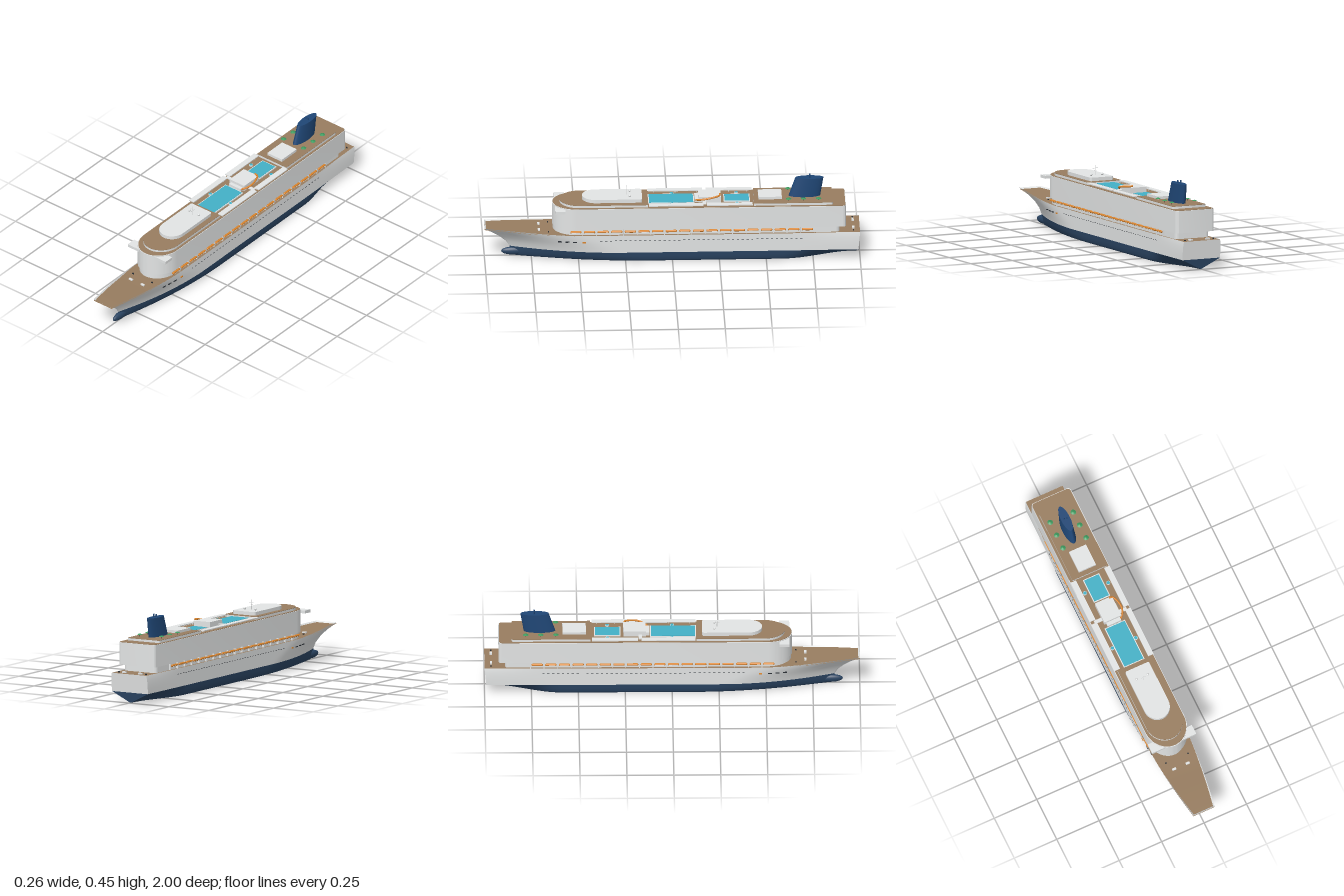
import * as THREE from 'three';
import { toCreasedNormals } from 'three/addons/utils/BufferGeometryUtils.js';

const material = (name, color, side = THREE.FrontSide) => {
  const m = new THREE.MeshStandardMaterial({ color, side });
  m.name = name;
  return m;
};
const white = material('white paint', 0xe2e4e4, THREE.DoubleSide);
const navy = material('navy hull', 0x2a4462, THREE.DoubleSide);
const funnelBlue = material('funnel blue', 0x1f4675);
const wood = material('deck wood', 0x987d60, THREE.DoubleSide);
const water = material('pool water', 0x43b0c6);
const orange = material('orange', 0xdc862e);
const green = material('green', 0x3f9a5f);
const dark = material('dark fittings', 0x2b3036);

const ramp = (a, b, t) => THREE.MathUtils.smoothstep(t, a, b);
const lerp = THREE.MathUtils.lerp;

// Smooth surface through a grid of points
function surface(rows) {
  const n = rows[0].length, index = [];
  for (let i = 0; i < rows.length - 1; i++) {
    for (let j = 0; j < n - 1; j++) {
      const a = i * n + j, b = a + n;
      index.push(a, a + 1, b, b, a + 1, b + 1);
    }
  }
  const g = new THREE.BufferGeometry();
  g.setAttribute('position', new THREE.Float32BufferAttribute(rows.flat(2), 3));
  g.setIndex(index);
  g.computeVertexNormals();
  return g;
}

// Hull levels: height, bow z, bow half width, entrance length, middle and stern half widths
const WATERLINE = 0.055, STATIONS = 56;
const below = [
  [0, 0.83, 0, 0.75, 0.094, 0.002], [0.004, 0.845, 0, 0.72, 0.106, 0.01],
  [0.015, 0.86, 0, 0.68, 0.112, 0.032], [0.035, 0.865, 0, 0.64, 0.114, 0.073], [0.055, 0.865, 0, 0.6, 0.115, 0.112],
];
const above = [
  [0.055, 0.865, 0, 0.6, 0.115, 0.112], [0.08, 0.885, 0.003, 0.58, 0.115, 0.113], [0.105, 0.92, 0.012, 0.56, 0.115, 0.113],
  [0.128, 0.957, 0.03, 0.55, 0.115, 0.112], [0.145, 0.985, 0.052, 0.55, 0.115, 0.11], [0.155, 1, 0.062, 0.55, 0.115, 0.108],
];
const sheer = (z) => 0.155 + 0.026 * ramp(0.45, 1.05, z) * 1.05;

function hullPoint([y, bow, bowW, entrance, mid, stern], u, side) {
  const back = -0.985 - 0.015 * y / 0.155;
  const z = lerp(bow, back, Math.pow(u, 1.35));
  const t = Math.min((bow - z) / entrance, 1);
  let w = lerp(bowW, mid, 1 - Math.pow(1 - t, 1.9));
  w = lerp(w, stern, 1 - ramp(back, back + 0.4, z));
  const rise = Math.max(0, (y - WATERLINE) / (0.155 - WATERLINE));
  return [side * w, y + rise * (sheer(z) - 0.155), z];
}

function hullOutline(level) {
  const points = [];
  for (let i = STATIONS; i >= 0; i--) points.push(hullPoint(level, i / STATIONS, 1));
  for (let i = 0; i <= STATIONS; i++) points.push(hullPoint(level, i / STATIONS, -1));
  return points;
}

// Plan shape with a rounded nose and rounded rear corners, raised from y0 to y1
function slabGeometry(w, front, back, nose, corner, y0, y1) {
  const s = new THREE.Shape();
  s.moveTo(-w + corner, -back);
  s.quadraticCurveTo(-w, -back, -w, -back - corner);
  s.lineTo(-w, -front + nose);
  if (nose > 0) s.absellipse(0, -front + nose, w, nose, Math.PI, Math.PI * 2, false);
  else s.lineTo(w, -front);
  s.lineTo(w, -back - corner);
  s.quadraticCurveTo(w, -back, w - corner, -back);
  s.closePath();
  const g = new THREE.ExtrudeGeometry(s, { depth: y1 - y0, bevelEnabled: false, curveSegments: 24 });
  g.rotateX(-Math.PI / 2).translate(0, y0, 0);
  return toCreasedNormals(g, 0.6);
}

export function createModel() {
  const ship = new THREE.Group();
  ship.name = 'cruiseShip';
  const add = (name, geometry, mat, x = 0, y = 0, z = 0) => {
    const mesh = new THREE.Mesh(geometry, mat);
    mesh.name = name;
    mesh.position.set(x, y, z);
    ship.add(mesh);
    return mesh;
  };
  const box = (name, mat, w, h, d, x, y, z) => add(name, new THREE.BoxGeometry(w, h, d), mat, x, y, z);
  const slab = (name, mat, ...plan) => add(name, slabGeometry(...plan), mat);

  // Hull, bottom and transom
  for (const [name, levels, mat] of [['lowerHull', below, navy], ['upperHull', above, white]]) {
    add(name, surface(levels.map(hullOutline)), mat);
    add(name + 'Transom', surface(levels.map((l) => [hullPoint(l, 1, -1), hullPoint(l, 1, 1)])), mat);
  }
  const across = (level, drop) => Array.from({ length: STATIONS + 1 }, (_, i) => [1, -1].map((s) => {
    const p = hullPoint(level, i / STATIONS, s);
    return [p[0], p[1] - drop(p[2]), p[2]];
  }));
  add('hullBottom', surface(across(below[0], () => 0).map((r) => r.reverse())), navy);
  add('mainDeck', surface(across(above[5], (z) => 0.001 + 0.006 * ramp(0.6, 0.75, z)).map((r) => r.reverse())), wood);
  add('bulbousBow', new THREE.SphereGeometry(1, 24, 16), navy, 0, 0.026, 0.845).scale.set(0.017, 0.022, 0.065);

  // Superstructure
  slab('promenadeHouse', white, 0.1, 0.635, -0.89, 0.12, 0.02, 0.15, 0.19);
  slab('cabinBlock', white, 0.115, 0.64, -0.925, 0.13, 0.02, 0.19, 0.31);
  slab('upperDeck', wood, 0.112, 0.636, -0.922, 0.13, 0.02, 0.31, 0.312);
  slab('forwardTier', white, 0.1, 0.6, 0.13, 0.11, 0, 0.31, 0.324);
  slab('forwardTierDeck', wood, 0.1, 0.6, 0.13, 0.11, 0, 0.324, 0.326);
  slab('aftTier', white, 0.1, -0.435, -0.855, 0, 0.01, 0.31, 0.324);
  slab('aftTierDeck', wood, 0.1, -0.435, -0.855, 0, 0.01, 0.324, 0.326);
  slab('observationHouse', white, 0.07, 0.48, 0.16, 0.075, 0.012, 0.326, 0.345);
  box('bridgeWings', white, 0.26, 0.016, 0.055, 0, 0.298, 0.598);
  box('aftHouse', white, 0.1, 0.015, 0.125, 0, 0.333, -0.522);
  box('poolHouse', white, 0.1, 0.033, 0.12, 0, 0.328, -0.2);
  box('poolHouseSteps', white, 0.08, 0.02, 0.02, 0, 0.32, -0.13);

  // Pools
  for (const [w, d, z] of [[0.11, 0.235, 0.005], [0.085, 0.13, -0.345]]) {
    box('poolRim', white, w + 0.01, 0.006, d + 0.01, 0, 0.315, z);
    box('poolWater', water, w, 0.002, d, 0, 0.3185, z);
  }

  // Water slide
  const path = new THREE.CatmullRomCurve3([
    [0.03, 0.353, -0.255], [0.05, 0.351, -0.25], [0.066, 0.347, -0.215],
    [0.07, 0.341, -0.18], [0.06, 0.333, -0.15], [0.035, 0.323, -0.125],
  ].map((p) => new THREE.Vector3(...p)));
  add('waterSlide', new THREE.TubeGeometry(path, 32, 0.005, 8), orange);

  // Funnel raked toward the stern, with exhaust pipes
  const funnel = new THREE.CylinderGeometry(1, 1, 1, 40, 6);
  const p = funnel.attributes.position;
  for (let i = 0; i < p.count; i++) {
    const t = p.getY(i) + 0.5;
    p.setXYZ(i, p.getX(i) * lerp(0.03, 0.025, t), 0.322 + 0.108 * t,
      p.getZ(i) * lerp(0.085, 0.075, t) + lerp(-0.705, -0.733, t));
  }
  funnel.computeVertexNormals();
  add('funnel', funnel, funnelBlue);

  // Radar mast
  add('mast', new THREE.CylinderGeometry(0.0015, 0.002, 0.055, 8), white, 0, 0.3715, 0.24);
  box('mastCrossbar', white, 0.03, 0.002, 0.003, 0, 0.383, 0.24);
  box('radarBar', white, 0.002, 0.002, 0.025, 0, 0.37, 0.24);

  // Paired fittings
  for (const s of [1, -1]) {
    add('exhaustPipe', new THREE.CylinderGeometry(0.004, 0.004, 0.02, 12), funnelBlue, s * 0.008, 0.436, -0.735);
    add('radarDome', new THREE.SphereGeometry(0.007, 16, 12), white, s * 0.033, 0.351, 0.225);
    for (const [z, d] of [[-0.02, 0.29], [-0.305, 0.245]]) {
      box('sunWalkway', white, 0.032, 0.005, d, s * 0.099, 0.3235, z);
      for (const e of [-0.4, 0, 0.4]) box('walkwayPost', white, 0.003, 0.012, 0.003, s * 0.09, 0.316, z + e * d);
    }
    box('walkwayBridge', white, 0.05, 0.004, 0.02, s * 0.07, 0.323, -0.17);
    for (const z of [-0.78, -0.7, -0.62]) {
      add('parasol', new THREE.ConeGeometry(0.015, 0.006, 10), green, s * 0.068, 0.339, z);
      add('parasolPole', new THREE.CylinderGeometry(0.001, 0.001, 0.012, 6), dark, s * 0.068, 0.331, z);
    }
    for (const z of [-0.345, 0]) {
      add('whirlpoolRim', new THREE.CylinderGeometry(0.011, 0.011, 0.006, 16), white, s * 0.069, 0.315, z);
      add('whirlpoolWater', new THREE.CylinderGeometry(0.009, 0.009, 0.001, 16), water, s * 0.069, 0.3186, z);
    }
    box('bowWinch', white, 0.022, 0.008, 0.012, s * 0.04, 0.163, 0.71);
    box('bowBollard', dark, 0.008, 0.007, 0.006, s * 0.065, 0.162, 0.66);
    box('sternWinch', white, 0.024, 0.008, 0.012, s * 0.05, 0.158, -0.965);
    box('sternBollard', dark, 0.008, 0.006, 0.006, s * 0.085, 0.157, -0.965);

    // Lifeboats and their davits
    for (let i = 0; i < 18; i++) {
      const z = 0.515 - i * 0.0726;
      const boat = add('lifeboat', new THREE.CapsuleGeometry(0.0065, 0.048, 5, 10), orange, s * 0.112, 0.177, z);
      boat.rotation.x = Math.PI / 2;
      box('lifeboatStripe', white, 0.0135, 0.0015, 0.05, s * 0.112, 0.174, z);
      box('davit', white, 0.012, 0.035, 0.004, s * 0.105, 0.1725, z - 0.0363);
    }
    // Porthole dashes along the hull side
    for (let i = 0; i < 42; i++) {
      box('porthole', dark, 0.002, 0.0025, 0.012, s * 0.1148, 0.125, 0.38 - i * 0.026);
    }
    // Mooring ports on the forward flare
    for (const z of [0.6, 0.56, 0.52]) {
      const u = (z2) => Math.pow((0.94 - z2) / 1.93, 1 / 1.35);
      const q = hullPoint([0.116, 0.94, 0.02, 0.555, 0.115, 0.113], u(z), s);
      box('mooringPort', dark, 0.006, 0.005, 0.022, q[0], q[1], z);
    }
    box('pilotDoor', orange, 0.004, 0.007, 0.018, s * 0.1135, 0.117, 0.47);
  }
  return ship;
}
